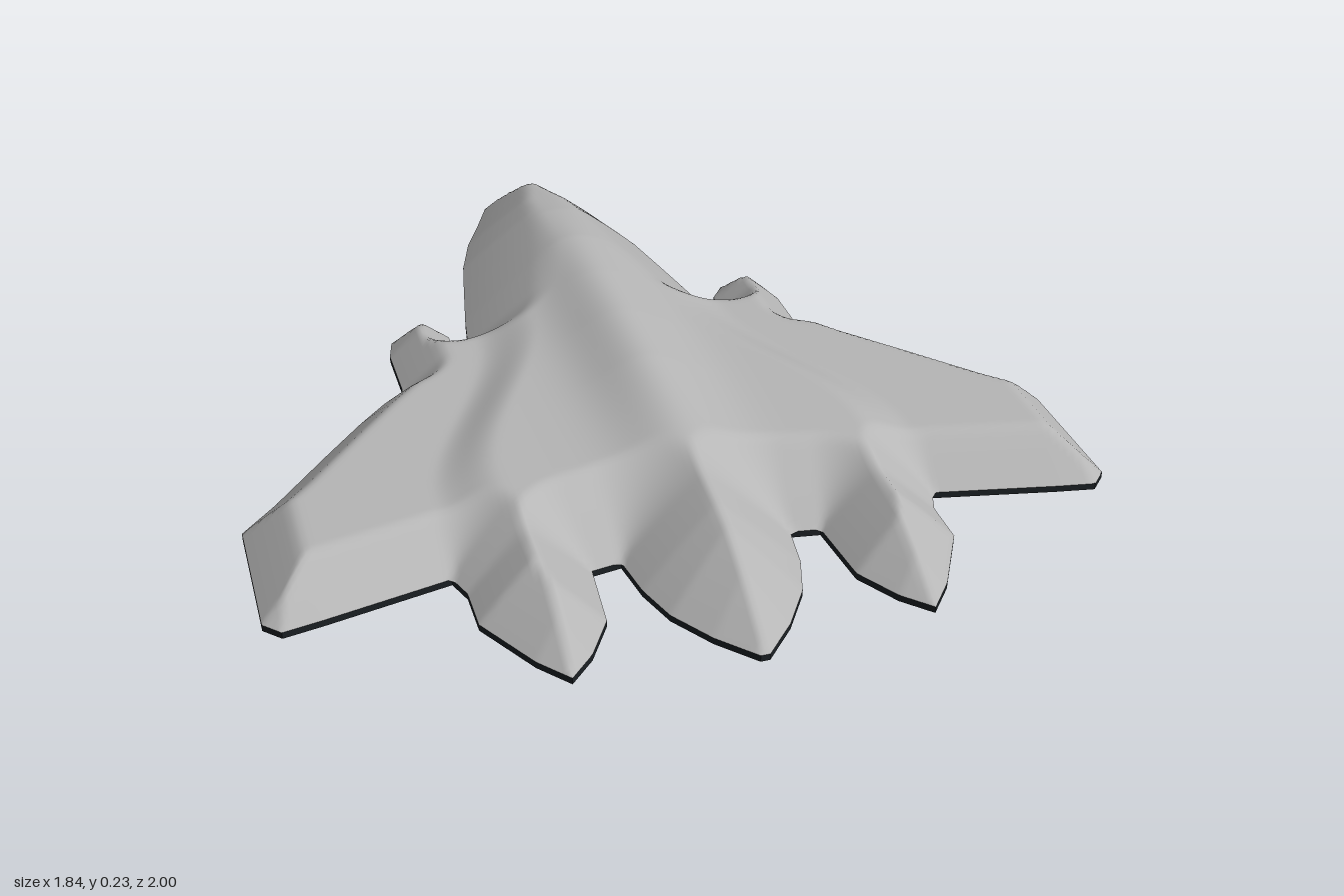
import * as THREE from 'three';

// Right half of the planform as [x, z], nose (z = -1) to tail (z = 1)
const HALF = [
  [0.09, -1], [0.11, -0.98], [0.16, -0.87], [0.20, -0.79], [0.24, -0.67], [0.265, -0.55], [0.295, -0.4], [0.315, -0.28],
  [0.35, -0.27], [0.35, -0.34], [0.385, -0.385], [0.44, -0.385], [0.49, -0.35], [0.505, -0.29], [0.505, -0.12],
  [0.555, -0.09], [0.61, -0.02], [0.70, 0.08], [0.84, 0.24], [0.92, 0.32], [0.92, 0.63], [0.885, 0.665],
  [0.80, 0.65], [0.53, 0.595], [0.51, 0.65], [0.51, 0.75], [0.47, 0.82], [0.43, 0.89], [0.375, 0.955],
  [0.32, 0.9], [0.265, 0.81], [0.25, 0.65], [0.185, 0.64], [0.17, 0.74], [0.14, 0.83], [0.08, 0.92], [0.01, 0.995],
];
// The left side is slightly slimmer ahead of the wing
const mirrored = HALF.map(([x, z]) => [-(z < -0.05 ? x - 0.015 : x), z]).reverse();
const OUTLINE = [...HALF, ...mirrored];

// Height of the centre ridge as [z, y]
const RIDGE = [[-1, 0.11], [-0.85, 0.138], [-0.7, 0.168], [-0.6, 0.188], [-0.4, 0.215], [-0.2, 0.225],
  [0, 0.228], [0.2, 0.224], [0.5, 0.202], [0.6, 0.19], [0.75, 0.16], [1, 0.12]];
const BASE = 0.015;

function ridgeHeight(z) {
  for (let i = 1; i < RIDGE.length; i++) {
    const [z0, y0] = RIDGE[i - 1], [z1, y1] = RIDGE[i];
    if (z <= z1) return THREE.MathUtils.mapLinear(Math.max(z, z0), z0, z1, y0, y1);
  }
  return RIDGE[RIDGE.length - 1][1];
}

// Nearest outline point, its distance, and whether (x, z) lies inside
function locate(x, z) {
  let best = Infinity, px = 0, pz = 0, inside = false;
  OUTLINE.forEach(([ax, az], i) => {
    const [bx, bz] = OUTLINE[(i + 1) % OUTLINE.length];
    const dx = bx - ax, dz = bz - az;
    const t = THREE.MathUtils.clamp(((x - ax) * dx + (z - az) * dz) / (dx * dx + dz * dz), 0, 1);
    const qx = ax + t * dx, qz = az + t * dz, d = Math.hypot(x - qx, z - qz);
    if (d < best) { best = d; px = qx; pz = qz; }
    if ((az > z) !== (bz > z) && x < ax + ((z - az) / dz) * dx) inside = !inside;
  });
  return { d: best, px, pz, inside };
}

// Flat wings, raised shoulders and a rounded spine, bevelled toward the outline
function hullHeight(x, z, d) {
  const ax = Math.abs(x), smooth = THREE.MathUtils.smoothstep;
  const outer = 0.31 + 0.22 * smooth(z, -0.15, 0.45);
  const spine = ridgeHeight(z);
  const shoulder = Math.min(0.11 + 0.043 * (1 - smooth(ax, outer - 0.14, outer)), spine);
  const cap = shoulder + (spine - shoulder) * Math.exp(-((ax / 0.115) ** 2));
  const bevel = BASE + 0.98 * d - 0.5 * d * d;
  const k = 0.012, h = Math.max(k - Math.abs(bevel - cap), 0) / k;
  return Math.max(BASE, Math.min(bevel, cap) - h * h * k * 0.25);
}

// Grid over the planform; nodes just outside are pulled onto the outline
function hullGeometry() {
  const step = 0.0125, nx = 152, nz = 164;
  const pos = [], index = [], inside = [];
  for (let j = 0; j <= nz; j++) {
    for (let i = 0; i <= nx; i++) {
      const x = (i - nx / 2) * step, z = (j - nz / 2) * step;
      const p = locate(x, z);
      inside.push(p.inside);
      if (p.inside) pos.push(x, hullHeight(x, z, p.d), z);
      else pos.push(p.px, BASE, p.pz);
    }
  }
  for (let j = 0; j < nz; j++) {
    for (let i = 0; i < nx; i++) {
      const a = j * (nx + 1) + i, b = a + 1, c = a + nx + 1, d = c + 1;
      if (inside[a] || inside[b] || inside[c] || inside[d]) index.push(a, c, b, b, c, d);
    }
  }
  const geo = new THREE.BufferGeometry();
  geo.setAttribute('position', new THREE.Float32BufferAttribute(pos, 3));
  geo.setIndex(index);
  geo.computeVertexNormals();
  return geo;
}

export function createModel() {
  const hullGrey = new THREE.MeshStandardMaterial({ color: 0xb6b6b6 });
  hullGrey.name = 'hull grey';
  const baseDark = new THREE.MeshStandardMaterial({ color: 0x1b2024 });
  baseDark.name = 'base dark';

  const group = new THREE.Group();
  group.name = 'spacecraftRelief';

  // Sculpted upper hull
  const hull = new THREE.Mesh(hullGeometry(), hullGrey);
  hull.name = 'upperHull';
  group.add(hull);

  // Thin dark backing plate
  const shape = new THREE.Shape(OUTLINE.map(([x, z]) => new THREE.Vector2(x, -z)));
  const plate = new THREE.ExtrudeGeometry(shape, { depth: BASE, bevelEnabled: false });
  plate.rotateX(-Math.PI / 2);
  const base = new THREE.Mesh(plate, baseDark);
  base.name = 'basePlate';
  group.add(base);

  return group;
}
